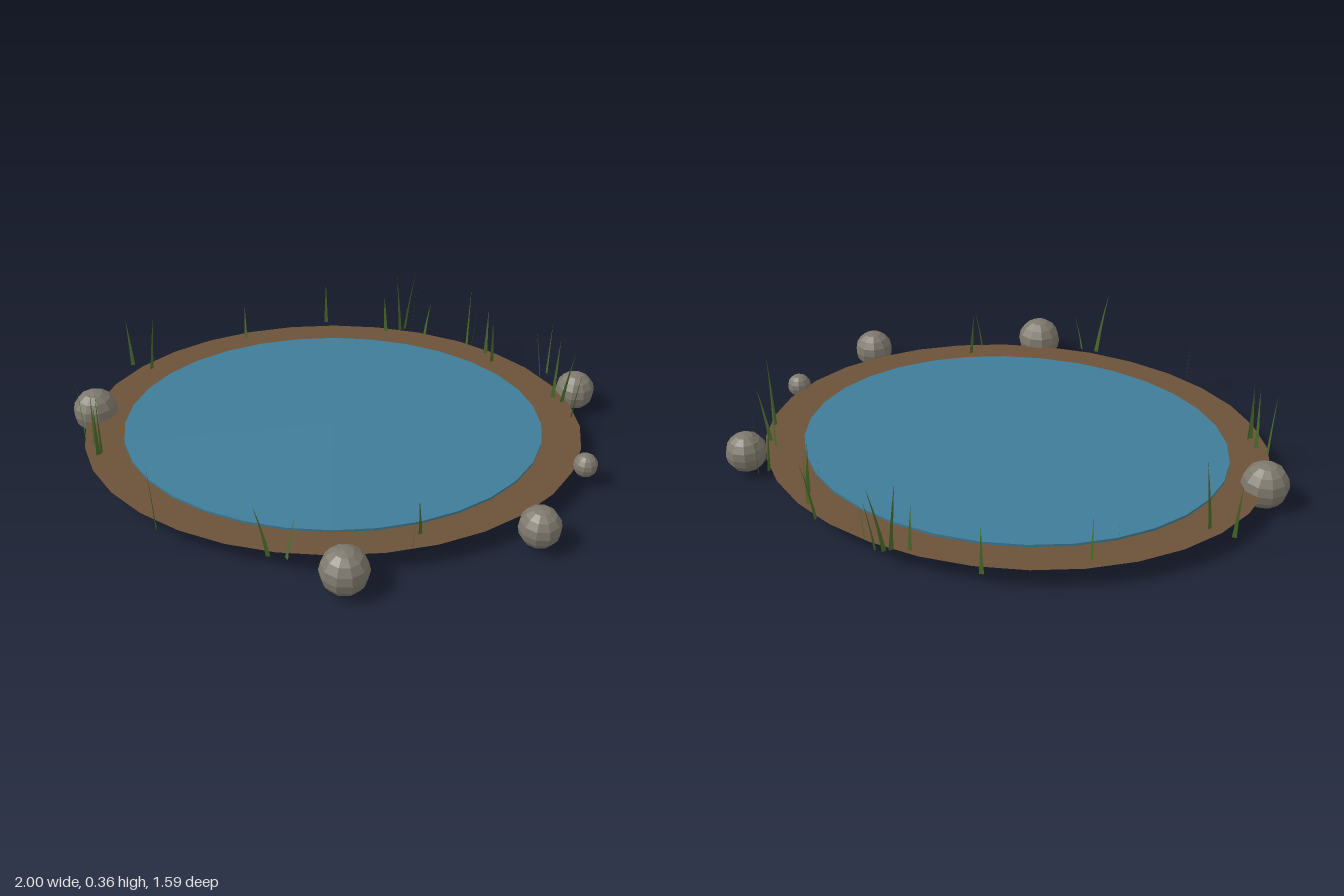
import * as THREE from 'three';

const mat = (color, extra = {}) => new THREE.MeshStandardMaterial({ color, ...extra });

function add(group, name, geometry, material, x, y, z) {
  const mesh = new THREE.Mesh(geometry, material);
  mesh.name = name;
  mesh.position.set(x, y, z);
  group.add(mesh);
  return mesh;
}

// Flat grass blade: a tapering strip that leans more toward its tip
function bladeGeometry(height, dx, dz, yaw) {
  const pos = [], index = [], rows = 3, half = 0.008;
  for (let i = 0; i <= rows; i++) {
    const t = i / rows, w = half * (1 - t), lean = t * (0.7 + 0.3 * t);
    for (const s of [-1, 1]) {
      pos.push(dx * lean + s * w * Math.cos(yaw), height * t, dz * lean + s * w * Math.sin(yaw));
    }
    if (i < rows) {
      const a = i * 2;
      index.push(a, a + 1, a + 3, a, a + 3, a + 2);
    }
  }
  const g = new THREE.BufferGeometry();
  g.setAttribute('position', new THREE.Float32BufferAttribute(pos, 3));
  g.setIndex(index);
  g.computeVertexNormals();
  return g;
}

export function createModel() {
  const model = new THREE.Group();
  model.name = 'pond';
  const cx = -0.015, cz = -0.062;

  // Earth bank: oval slab, narrower underneath
  const bank = new THREE.CylinderGeometry(1, 0.94, 0.025, 32);
  bank.scale(0.92, 1, 0.708);
  add(model, 'bank', bank, mat(0x6b5238, { flatShading: true }), cx, 0.0775, cz);

  // Water: thin oval disc standing just proud of the bank
  const water = new THREE.CylinderGeometry(1, 1, 0.015, 32);
  water.scale(0.775, 1, 0.596);
  add(model, 'water', water, mat(0x3f7c98), cx, 0.092, cz);

  // Rocks around the rim: x, z, radius
  const rockMat = mat(0x7d786c, { flatShading: true });
  const rocks = new THREE.Group();
  rocks.name = 'rocks';
  [
    [-0.915, -0.157, 0.085],
    [0.028, 0.713, 0.085],
    [0.682, 0.5, 0.075],
    [0.922, -0.303, 0.075],
    [0.888, 0.168, 0.045],
  ].forEach(([x, z, r]) => add(rocks, 'rock', new THREE.SphereGeometry(r, 10, 8), rockMat, x, 0.09, z));
  model.add(rocks);

  // Reeds: base x, base z, lean x, lean z, height
  const reedMat = mat(0x4a6b2a, { side: THREE.DoubleSide });
  const reeds = new THREE.Group();
  reeds.name = 'reeds';
  [
    [-0.05, -0.8, 0, 0, 0.19],
    [0.28, -0.75, 0.04, -0.02, 0.26],
    [0.31, -0.75, 0.02, -0.03, 0.22],
    [0.36, -0.7, 0.02, 0.01, 0.16],
    [0.2, -0.73, -0.01, 0, 0.18],
    [0.26, -0.74, -0.02, 0.02, 0.26],
    [0.55, -0.63, 0.03, -0.02, 0.24],
    [0.53, -0.63, 0, 0.03, 0.28],
    [0.6, -0.56, 0, 0, 0.21],
    [0.62, -0.5, -0.01, 0.01, 0.2],
    [0.8, -0.4, -0.03, -0.02, 0.21],
    [0.83, -0.42, 0, 0.01, 0.24],
    [0.83, -0.25, 0, 0.02, 0.28],
    [0.86, -0.22, 0.03, 0, 0.22],
    [0.88, -0.12, 0.02, 0.04, 0.28],
    [-0.46, -0.65, 0, 0, 0.2],
    [-0.38, -0.67, 0, 0, 0.17],
    [-0.82, -0.47, -0.01, 0, 0.21],
    [-0.74, -0.44, 0.03, 0.02, 0.26],
    [-0.6, 0.52, -0.01, 0.01, 0.28],
    [-0.16, 0.66, 0.03, -0.02, 0.16],
    [-0.22, 0.65, -0.04, 0.04, 0.25],
    [0.28, 0.54, -0.01, 0.02, 0.17],
    [0.25, 0.61, 0.02, -0.03, 0.17],
    [-0.92, 0.03, -0.01, -0.01, 0.26],
    [-0.88, 0.06, 0.01, 0.02, 0.24],
    [-0.86, 0.12, 0.01, 0.02, 0.22],
    [-0.85, 0.11, 0, -0.02, 0.25],
  ].forEach(([x, z, dx, dz, h], i) =>
    add(reeds, 'reed', bladeGeometry(h, dx, dz, i * 2.4), reedMat, x, 0.088, z));
  model.add(reeds);

  return model;
}
